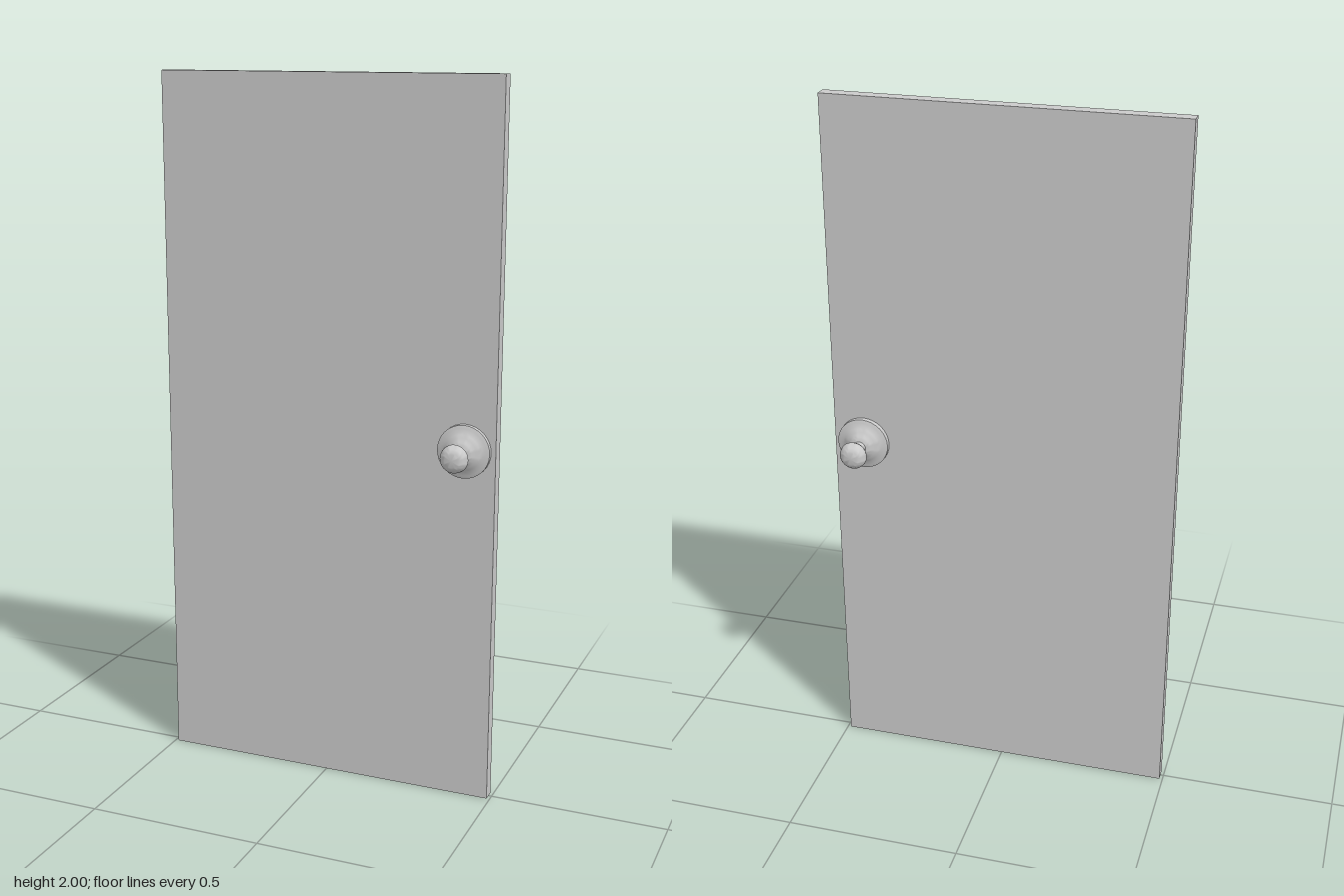
import * as THREE from 'three';
import { toCreasedNormals } from 'three/addons/utils/BufferGeometryUtils.js';

export function createModel() {
  const model = new THREE.Group();
  model.name = 'door';
  const material = new THREE.MeshStandardMaterial({ color: 0xcccccc });

  // Turned part: profile pairs are [radius, distance from the door face]
  const turned = (name, profile) => {
    const points = profile.map(([r, h]) => new THREE.Vector2(r, h));
    const geometry = toCreasedNormals(new THREE.LatheGeometry(points, 32), 0.8);
    const mesh = new THREE.Mesh(geometry, material);
    mesh.name = name;
    return mesh;
  };

  // Plain door slab
  const panel = new THREE.Mesh(new THREE.BoxGeometry(0.982, 2, 0.038), material);
  panel.name = 'doorPanel';
  panel.position.y = 1;
  model.add(panel);

  // Matching handle on each face: stepped rose, slim neck, rounded knob
  for (const side of [1, -1]) {
    const handle = new THREE.Group();
    handle.name = side > 0 ? 'frontHandle' : 'backHandle';
    handle.add(
      turned('rosePlate', [
        [0, -0.002], [0.074, -0.002], [0.074, 0.014], [0.066, 0.017],
        [0.056, 0.019], [0.05, 0.024], [0.042, 0.029], [0.034, 0.033],
        [0.031, 0.037], [0.024, 0.039], [0.019, 0.042], [0, 0.042],
      ]),
      turned('neck', [
        [0.021, 0.038], [0.017, 0.044], [0.0145, 0.052], [0.0145, 0.064],
        [0.016, 0.068], [0.02, 0.073],
      ]),
      turned('knob', [
        [0, 0.067], [0.016, 0.068], [0.026, 0.072], [0.034, 0.079],
        [0.039, 0.09], [0.037, 0.1], [0.031, 0.109], [0.023, 0.115],
        [0.018, 0.117], [0, 0.117],
      ]),
    );
    handle.position.set(0.404, 1.01, side * 0.019);
    handle.rotation.x = side * Math.PI / 2;
    model.add(handle);
  }
  return model;
}
